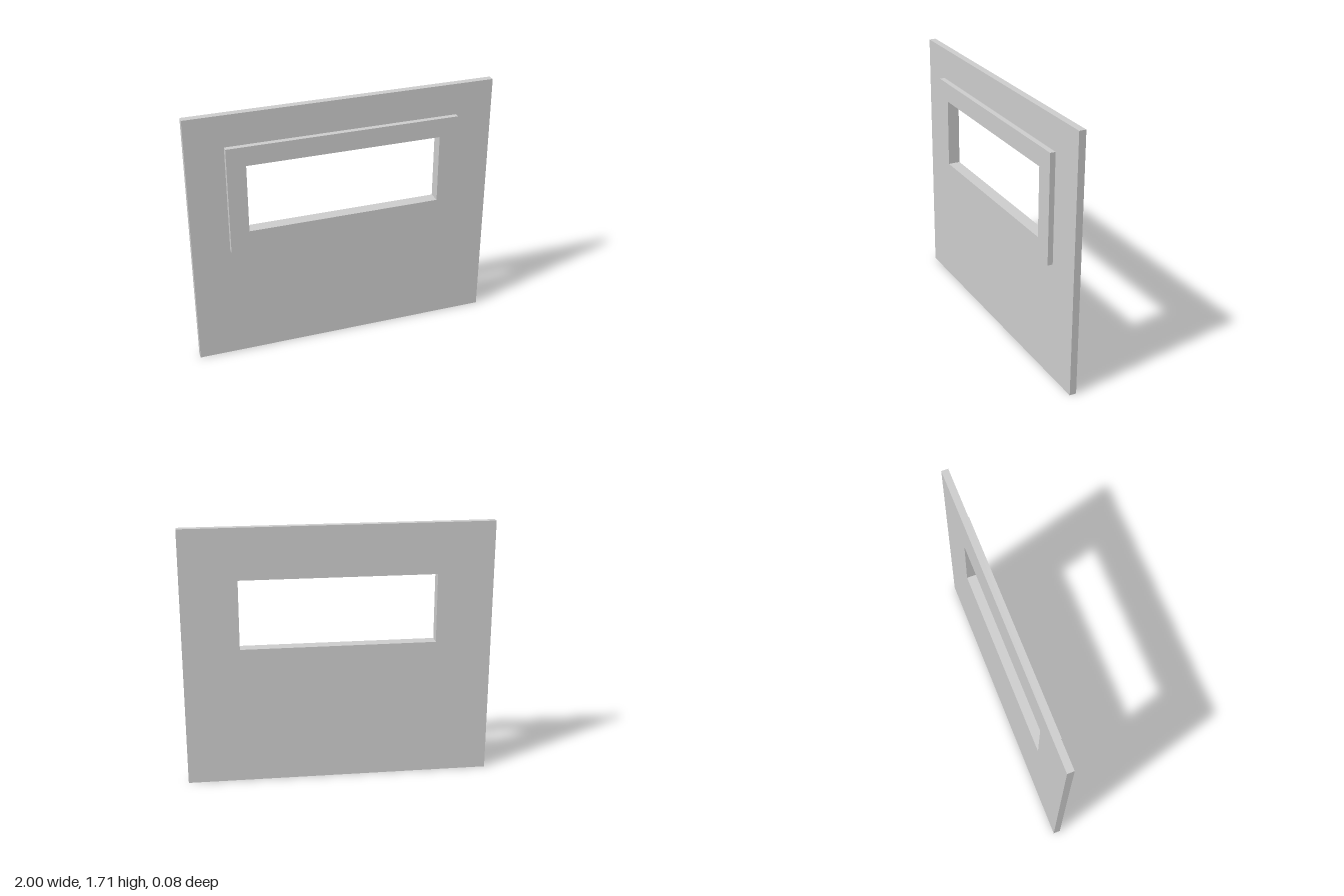
import * as THREE from 'three';

// Counter-clockwise rectangle outline from its edges
function rectPoints(halfWidth, bottom, top) {
  return [[-1, bottom], [1, bottom], [1, top], [-1, top]]
    .map(([side, y]) => new THREE.Vector2(side * halfWidth, y));
}

const WINDOW = [0.635, 0.915, 1.37]; // half width, bottom, top

// Rectangular slab pierced by the window opening
function piercedSlab(name, outline, backZ, frontZ, material) {
  const shape = new THREE.Shape(rectPoints(...outline));
  shape.holes.push(new THREE.Path(rectPoints(...WINDOW).reverse()));
  const geometry = new THREE.ExtrudeGeometry(shape, { depth: frontZ - backZ, bevelEnabled: false });
  geometry.translate(0, 0, backZ);
  const mesh = new THREE.Mesh(geometry, material);
  mesh.name = name;
  return mesh;
}

export function createModel() {
  const group = new THREE.Group();
  group.name = 'windowPanel';
  const material = new THREE.MeshStandardMaterial({ color: 0xcccccc });

  // Wall panel with the raised window surround on its front
  group.add(
    piercedSlab('wallPanel', [1, 0, 1.705], -0.04, 0.005, material),
    piercedSlab('windowSurround', [0.757, 0.78, 1.497], 0.005, 0.04, material),
  );
  return group;
}
